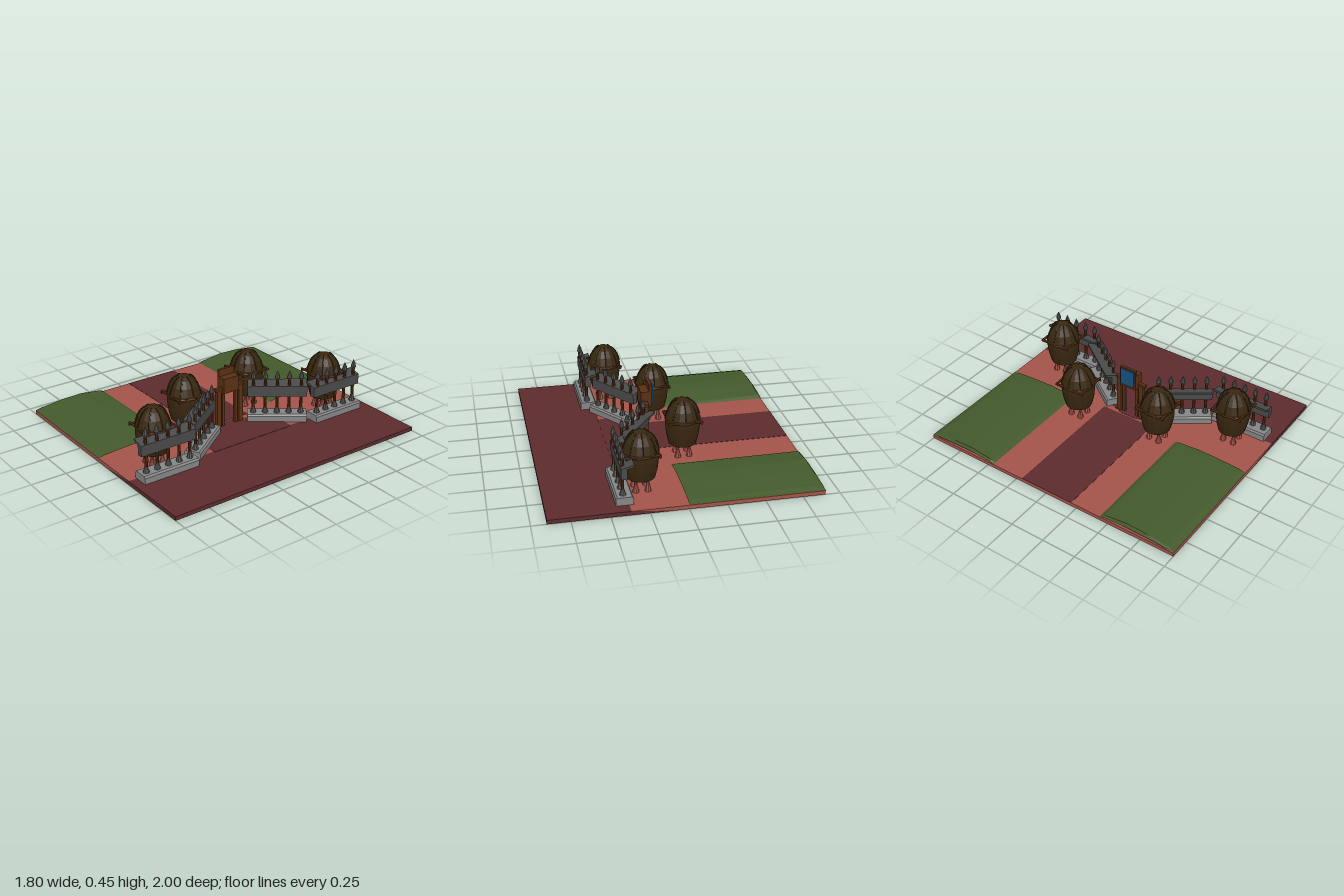
import * as THREE from 'three';

const mat = (color, side = THREE.FrontSide) => {
  const m = new THREE.MeshStandardMaterial({ color, flatShading: true, side });
  return m;
};
const PAVING = mat(0xa3544a), ROAD = mat(0x5c2b2d), GRASS = mat(0x43592b, THREE.DoubleSide);
const BARREL = mat(0x38270f), WOOD = mat(0x5a3013), STONE = mat(0x858585);
const PANEL = mat(0x4a4a4a), IRON = mat(0x555555), BLUE = mat(0x1a4f80);

function add(parent, name, geometry, material, x = 0, y = 0, z = 0) {
  const mesh = new THREE.Mesh(geometry, material);
  mesh.name = name;
  mesh.position.set(x, y, z);
  parent.add(mesh);
  return mesh;
}
const shape = pts => new THREE.Shape(pts.map(p => new THREE.Vector2(...p)));
const lathe = (pts, n) => new THREE.LatheGeometry(pts.map(p => new THREE.Vector2(...p)), n);

// x-y profile drawn out along z, centred on z = 0
const bar = (pts, length) =>
  new THREE.ExtrudeGeometry(shape(pts), { depth: length, bevelEnabled: false }).translate(0, 0, -length / 2);

// flat x-z outline with a small thickness
const slab = (pts, thickness) =>
  new THREE.ExtrudeGeometry(shape(pts.map(([x, z]) => [x, -z])), { depth: thickness, bevelEnabled: false })
    .rotateX(-Math.PI / 2);

// Mounded lawn: cross-sections in z, tapering at both ends in x
function lawn(inner, sign) {
  const xs = [-0.9, -0.885, -0.05, 0], scale = [0.5, 1, 0.72, 0.62];
  const profile = [[0, 0], [0.05, 0.018], [0.35, 0.039], [0.62, 0.034], [0.92, 0.016], [1, 0]];
  const geo = new THREE.PlaneGeometry(1, 1, xs.length - 1, profile.length - 1);
  const pos = geo.attributes.position;
  for (let j = 0; j < profile.length; j++) {
    for (let i = 0; i < xs.length; i++) {
      const [t, h] = profile[j];
      pos.setXYZ(j * xs.length + i, xs[i], 0.03 + h * scale[i], sign * (inner + t * (1 - inner)));
    }
  }
  geo.computeVertexNormals();
  return geo;
}

// Domed barrel on flared feet inside a square of poles
function barrel(x, z) {
  const g = new THREE.Group();
  g.name = 'barrel';
  g.position.set(x, 0, z);
  const profile = [[0, 0.12], [0.095, 0.12], [0.112, 0.19], [0.12, 0.26], [0.118, 0.32],
    [0.1, 0.375], [0.07, 0.42], [0.04, 0.438], [0, 0.44]];
  add(g, 'barrelBody', lathe(profile, 16), BARREL);

  const curve = new THREE.CatmullRomCurve3(profile.slice(4, 8).map(([r, y]) => new THREE.Vector3(r, y, 0)));
  const rib = new THREE.TubeGeometry(curve, 6, 0.005, 5);
  for (let i = 0; i < 8; i++) {
    const a = i * Math.PI / 4;
    add(g, 'barrelRib', rib, BARREL).rotation.y = a;
  }
  const hoop = new THREE.TorusGeometry(0.119, 0.006, 5, 16).rotateX(Math.PI / 2);
  add(g, 'barrelHoop', hoop, WOOD, 0, 0.302, 0);

  const pole = new THREE.CylinderGeometry(0.009, 0.009, 0.235, 6).rotateX(Math.PI / 2);
  for (const s of [-1, 1]) {
    add(g, 'sidePole', pole, WOOD, s * 0.106, 0.3, 0);
    add(g, 'crossPole', pole, WOOD, 0, 0.308, s * 0.106).rotation.y = Math.PI / 2;
  }
  const foot = lathe([[0, 0.028], [0.022, 0.028], [0.019, 0.05], [0.01, 0.085], [0.013, 0.125]], 8);
  for (const sx of [-1, 1]) {
    for (const sz of [-1, 1]) add(g, 'foot', foot, PAVING, sx * 0.04, 0, sz * 0.04);
  }
  return g;
}

// Fence section: stone plinth, five spear posts and a canopied panel
function fence(x, z, angle) {
  const g = new THREE.Group();
  g.name = 'fence';
  g.position.set(x, 0, z);
  g.rotation.y = angle;
  const plinth = [[-0.065, 0.025], [0.05, 0.025], [0.05, 0.07], [0.04, 0.083], [-0.055, 0.083], [-0.065, 0.07]];
  add(g, 'plinth', bar(plinth, 0.42), STONE);
  const panel = [[-0.07, 0.308], [-0.07, 0.293], [-0.025, 0.28], [-0.025, 0.21], [0.014, 0.21], [0.014, 0.285]];
  add(g, 'panel', bar(panel, 0.42), PANEL);

  const shaft = new THREE.CylinderGeometry(0.011, 0.011, 0.26, 8);
  const base = lathe([[0.022, 0.08], [0.02, 0.095], [0.011, 0.125]], 8);
  const tip = lathe([[0.01, 0.332], [0.019, 0.35], [0.013, 0.375], [0, 0.405]], 8);
  for (let i = -2; i <= 2; i++) {
    add(g, 'postShaft', shaft, WOOD, 0, 0.21, i * 0.084);
    add(g, 'postBase', base, IRON, 0, 0, i * 0.084);
    add(g, 'spearTip', tip, IRON, 0, 0, i * 0.084);
  }
  return g;
}

// Wooden gate stand with a box and a blue board
function gate() {
  const g = new THREE.Group();
  g.name = 'gate';
  for (const s of [-1, 1]) {
    add(g, 'outerPost', new THREE.BoxGeometry(0.03, 0.285, 0.034), WOOD, 0.095, 0.17, s * 0.093);
    add(g, 'innerPost', new THREE.BoxGeometry(0.022, 0.285, 0.022), WOOD, 0.095, 0.17, s * 0.055);
  }
  add(g, 'rail', new THREE.BoxGeometry(0.026, 0.02, 0.25), WOOD, 0.095, 0.318, 0.003);
  add(g, 'box', new THREE.BoxGeometry(0.06, 0.11, 0.13), WOOD, 0.098, 0.342, 0.003);
  add(g, 'backPlate', new THREE.BoxGeometry(0.02, 0.16, 0.13), WOOD, 0.06, 0.368, 0.003);
  add(g, 'blueBoard', new THREE.BoxGeometry(0.008, 0.13, 0.11), BLUE, 0.046, 0.373, 0.003);
  return g;
}

export function createModel() {
  const model = new THREE.Group();
  model.name = 'gatedYard';

  // Ground: two slabs meeting on a slope, with road surfaces on top
  add(model, 'pavement', bar([[-0.9, 0], [0.08, 0], [0.37, 0.028], [-0.9, 0.028]], 2), PAVING);
  add(model, 'yardGround', bar([[0.08, 0], [0.9, 0], [0.9, 0.028], [0.37, 0.028]], 2), ROAD);
  add(model, 'road', slab([[-0.9, -0.2], [0.047, -0.2], [0.047, 0.21], [-0.9, 0.21]], 0.003), ROAD, 0, 0.027, 0);
  const yard = [[0.38, -0.33], [0.26, -0.33], [0.09, -0.15], [0.058, -0.06],
    [0.058, 0.06], [0.09, 0.15], [0.26, 0.33], [0.38, 0.33]];
  add(model, 'yardApron', slab(yard, 0.003), ROAD, 0, 0.027, 0);
  add(model, 'lawn', lawn(0.44, 1), GRASS);
  add(model, 'lawn', lawn(0.45, -1), GRASS);

  for (const [x, z] of [[0.26, -0.725], [-0.11, -0.31], [-0.02, 0.3], [0.26, 0.735]]) model.add(barrel(x, z));
  for (const [x, z, a] of [[0.405, -0.71, 0], [0.235, -0.318, -0.63], [0.253, 0.33, 0.615], [0.422, 0.73, 0]]) {
    model.add(fence(x, z, a));
  }
  model.add(gate());
  return model;
}
